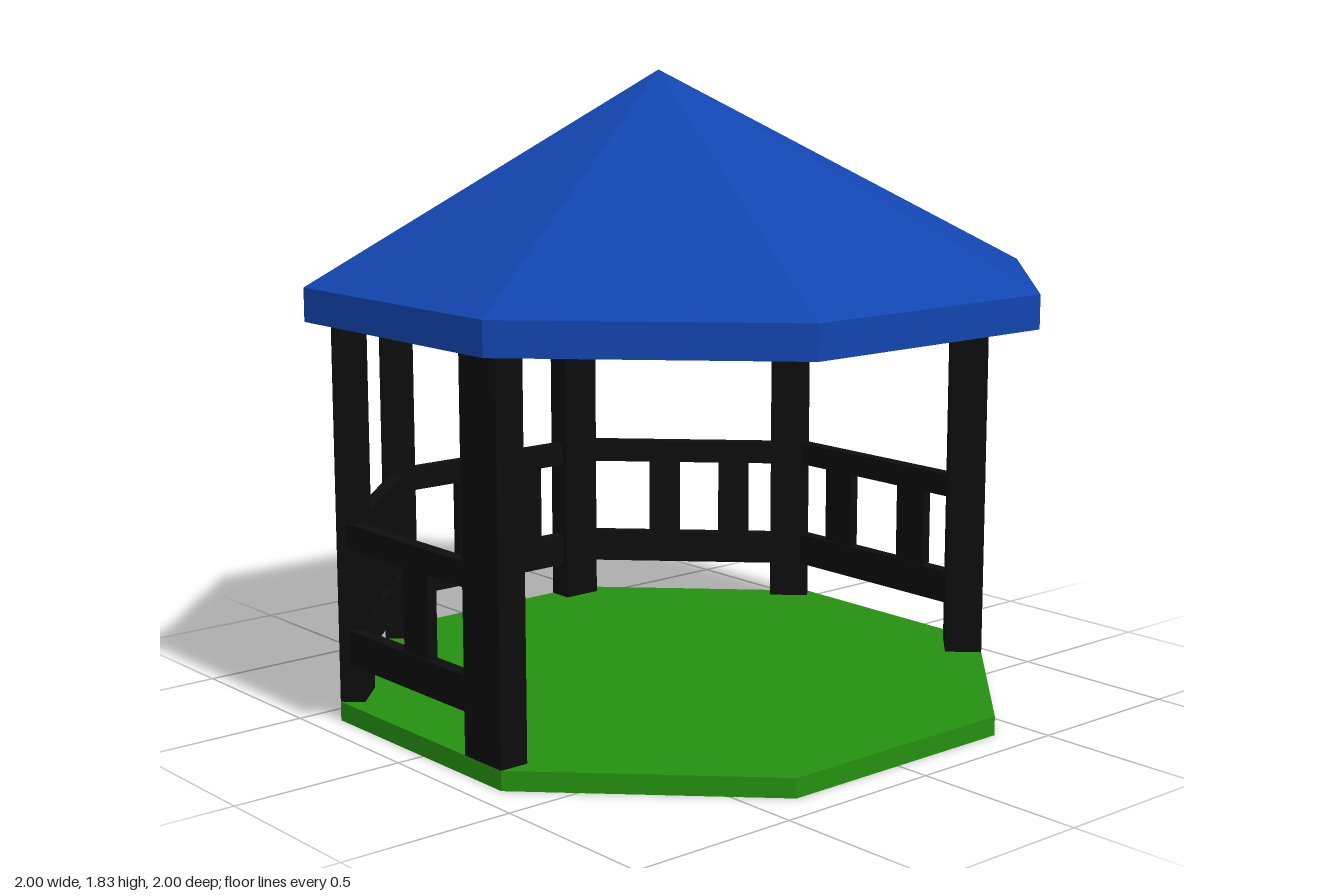
import * as THREE from 'three';

const material = (color) => new THREE.MeshStandardMaterial({ color, flatShading: true });

export function createModel() {
  const model = new THREE.Group();
  const blue = material(0x1245b0), green = material(0x259010), black = material(0x0d0d0d);

  const add = (name, geometry, mat, parent = model) => {
    const mesh = new THREE.Mesh(geometry, mat);
    mesh.name = name;
    parent.add(mesh);
    return mesh;
  };
  // Octagonal prism or cone with flat sides facing the axes
  const octagon = (topApothem, apothem, y0, y1) => {
    const k = 1 / Math.cos(Math.PI / 8);
    return new THREE.CylinderGeometry(topApothem * k, apothem * k, y1 - y0, 8, 1)
      .rotateY(Math.PI / 8).translate(0, (y0 + y1) / 2, 0);
  };

  // Floor
  const cx = 0.005, cz = -0.025, apothem = 0.925, floorTop = 0.055;
  add('floor', octagon(apothem, apothem, 0, floorTop).translate(cx, 0, cz), green);

  // Roof: fascia slab and a cone whose tip leans off centre
  add('roofEdge', octagon(1, 1, 1.155, 1.25), blue);
  const cone = octagon(0, 1, 1.25, 1.83);
  const p = cone.attributes.position;
  for (let i = 0; i < p.count; i++) {
    if (p.getY(i) > 1.5) p.setXYZ(i, -0.037, 1.83, -0.045);
  }
  add('roof', cone, blue);

  // Floor corners, counted from the right front side round the back to the left front
  const corner = (i) => {
    const a = Math.PI / 8 - i * Math.PI / 4, r = apothem / Math.cos(Math.PI / 8);
    return new THREE.Vector2(cx + r * Math.cos(a), cz + r * Math.sin(a));
  };
  const side = (i) => {
    const a = corner(i), b = corner(i + 1);
    const t = b.clone().sub(a);
    const length = t.length();
    t.normalize();
    return { a, t, length, n: new THREE.Vector2(cx, cz).sub(a.clone().add(b).multiplyScalar(0.5)).normalize() };
  };
  // Box lying along a side of the floor: s = along it, d = inward from it
  const sideBox = (name, i, s0, s1, d0, d1, y0, y1, parent) => {
    const { a, t, n } = side(i);
    const c = a.clone().addScaledVector(t, (s0 + s1) / 2).addScaledVector(n, (d0 + d1) / 2);
    const mesh = add(name, new THREE.BoxGeometry(s1 - s0, y1 - y0, d1 - d0), black, parent);
    mesh.position.set(c.x, (y0 + y1) / 2, c.y);
    mesh.rotation.y = Math.atan2(-t.y, t.x);
  };

  // Posts: [side, start along side, width, depth]
  const L = side(0).length;
  [
    [-1, L - 0.145, 0.145, 0.11],
    [1, 0, 0.125, 0.06],
    [2, 0, 0.125, 0.08],
    [3, 0, 0.125, 0.08],
    [3, L - 0.14, 0.14, 0.07],
    [4, L - 0.16, 0.16, 0.085],
  ].forEach(([i, s, w, d]) => sideBox('post', i, s, s + w, 0, d, floorTop, 1.16));

  // Railings on five sides, with the two baluster centres of each
  [
    [0.25, 0.57],
    [0.25, 0.48],
    [0.27, 0.485],
    [0.25, 0.47],
    [0.35, 0.66],
  ].forEach((balusters, i) => {
    const railing = new THREE.Group();
    railing.name = 'railing';
    model.add(railing);
    sideBox('lowerRail', i, 0.02, L - 0.02, 0.02, 0.06, 0.165, 0.265, railing);
    sideBox('upperRail', i, 0.02, L - 0.02, 0.02, 0.06, 0.505, 0.575, railing);
    const w = i % 2 ? 0.05 : 0.0575;
    balusters.forEach((s) => sideBox('baluster', i, s - w, s + w, 0.025, 0.055, 0.25, 0.52, railing));
  });

  return model;
}
